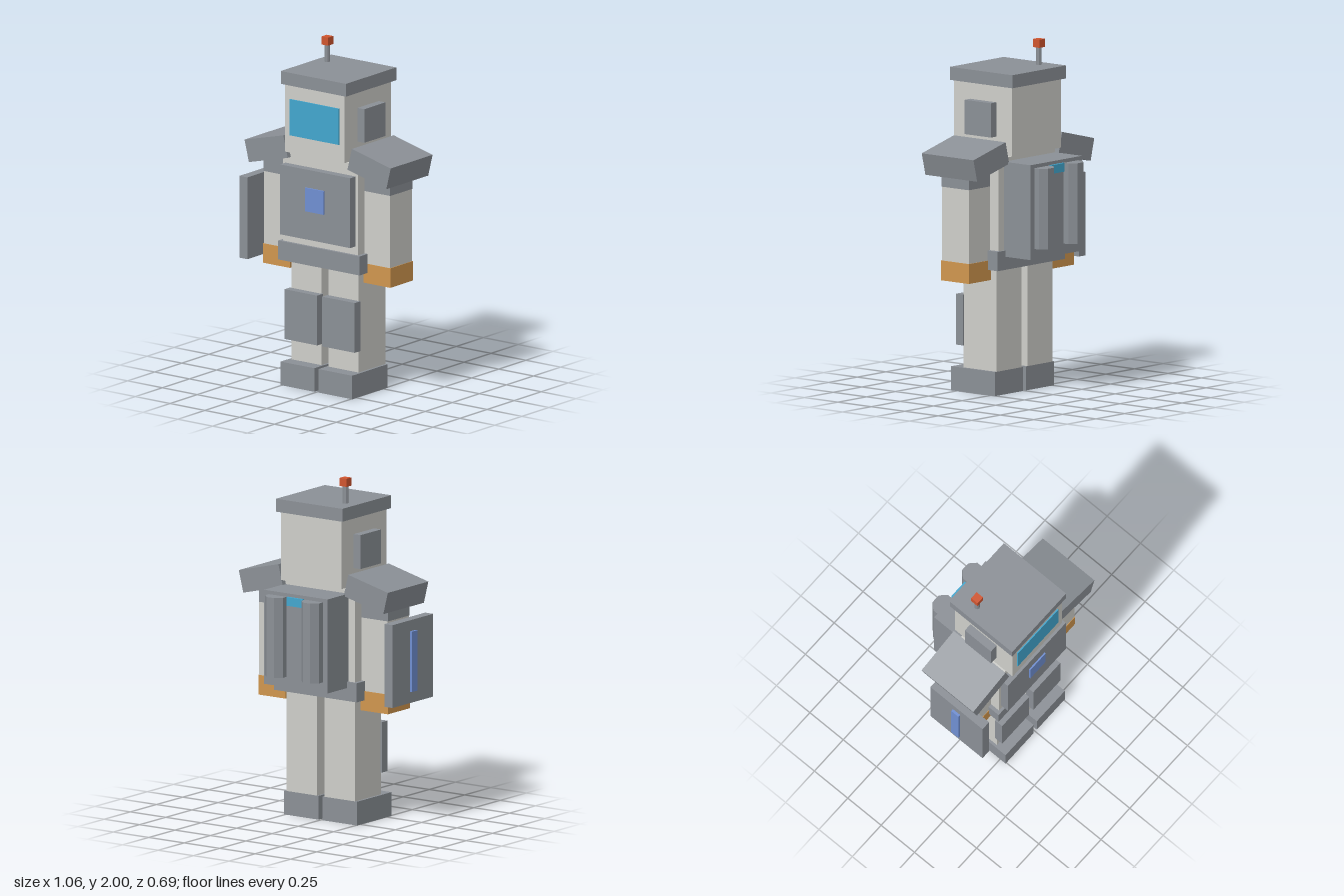
import * as THREE from 'three';

const material = (name, color) => {
  const m = new THREE.MeshStandardMaterial({ color, flatShading: true });
  m.name = name;
  return m;
};

export function createModel() {
  const model = new THREE.Group();
  model.name = 'robot';
  const shell = material('pale shell', 0xcfcfca);
  const armour = material('grey armour', 0x8b9096);
  const cyan = material('cyan glass', 0x43a7cf);
  const blue = material('blue accent', 0x708fd2);
  const orange = material('orange glove', 0xd0964e);
  const red = material('red light', 0xd0552f);

  const add = (name, geometry, mat, x, y, z) => {
    const mesh = new THREE.Mesh(geometry, mat);
    mesh.name = name;
    mesh.position.set(x, y, z);
    model.add(mesh);
    return mesh;
  };
  // Box given by its limits on each axis
  const box = (name, mat, [x0, x1], [y0, y1], [z0, z1]) =>
    add(name, new THREE.BoxGeometry(x1 - x0, y1 - y0, z1 - z0), mat,
      (x0 + x1) / 2, (y0 + y1) / 2, (z0 + z1) / 2);
  // Same box on the left (+x) and right (-x)
  const pair = (name, mat, [x0, x1], y, z) => {
    box(name + 'Left', mat, [x0, x1], y, z);
    box(name + 'Right', mat, [-x1, -x0], y, z);
  };

  // Head
  box('head', shell, [-0.213, 0.213], [1.38, 1.777], [-0.125, 0.306]);
  box('neck', shell, [-0.12, 0.12], [1.36, 1.385], [-0.03, 0.2]);
  box('headCap', armour, [-0.234, 0.234], [1.777, 1.852], [-0.146, 0.32]);
  box('visor', cyan, [-0.176, 0.176], [1.483, 1.695], [0.305, 0.313]);
  pair('earPad', armour, [0.213, 0.262], [1.483, 1.68], [-0.01, 0.186]);

  // Antenna
  add('antennaRod', new THREE.CylinderGeometry(0.016, 0.016, 0.11, 8), armour, -0.156, 1.903, -0.01);
  box('antennaTip', red, [-0.18, -0.132], [1.953, 2], [-0.034, 0.014]);

  // Torso
  box('torso', shell, [-0.27, 0.27], [0.78, 1.368], [-0.075, 0.252]);
  box('chestPlate', armour, [-0.252, 0.252], [0.888, 1.298], [0.252, 0.303]);
  box('chestEmblem', blue, [-0.067, 0.067], [1.055, 1.193], [0.303, 0.312]);
  box('belt', armour, [-0.292, 0.292], [0.727, 0.838], [-0.087, 0.269]);

  // Backpack with two thrusters
  box('backpack', armour, [-0.224, 0.224], [0.802, 1.347], [-0.273, -0.075]);
  box('backpackLight', cyan, [-0.057, 0.057], [1.278, 1.328], [-0.287, -0.273]);
  for (const s of [-1, 1]) {
    const thruster = add('thruster', new THREE.CylinderGeometry(0.0676, 0.0676, 0.464, 8),
      armour, s * 0.128, 1.094, -0.282);
    thruster.rotation.y = Math.PI / 8;
  }

  // Arms and tilted shoulder pads
  pair('arm', shell, [0.27, 0.453], [0.78, 1.204], [-0.01, 0.193]);
  pair('upperArmBand', armour, [0.268, 0.455], [1.204, 1.35], [-0.011, 0.194]);
  pair('hand', orange, [0.264, 0.457], [0.666, 0.78], [-0.013, 0.196]);
  for (const s of [-1, 1]) {
    const pad = add('shoulderPad', new THREE.BoxGeometry(0.288, 0.131, 0.387), armour, s * 0.37, 1.366, 0.087);
    pad.rotation.z = -s * 0.244;
  }

  // Shield on the right arm
  box('shield', armour, [-0.515, -0.458], [0.716, 1.196], [-0.049, 0.341]);
  box('shieldStripe', blue, [-0.53, -0.515], [0.782, 1.132], [0.119, 0.173]);

  // Legs
  pair('leg', shell, [0.026, 0.242], [0.138, 0.75], [-0.036, 0.212]);
  pair('kneePad', armour, [0.018, 0.252], [0.265, 0.557], [0.208, 0.261]);
  pair('boot', armour, [0.014, 0.257], [0, 0.138], [-0.036, 0.291]);

  return model;
}
